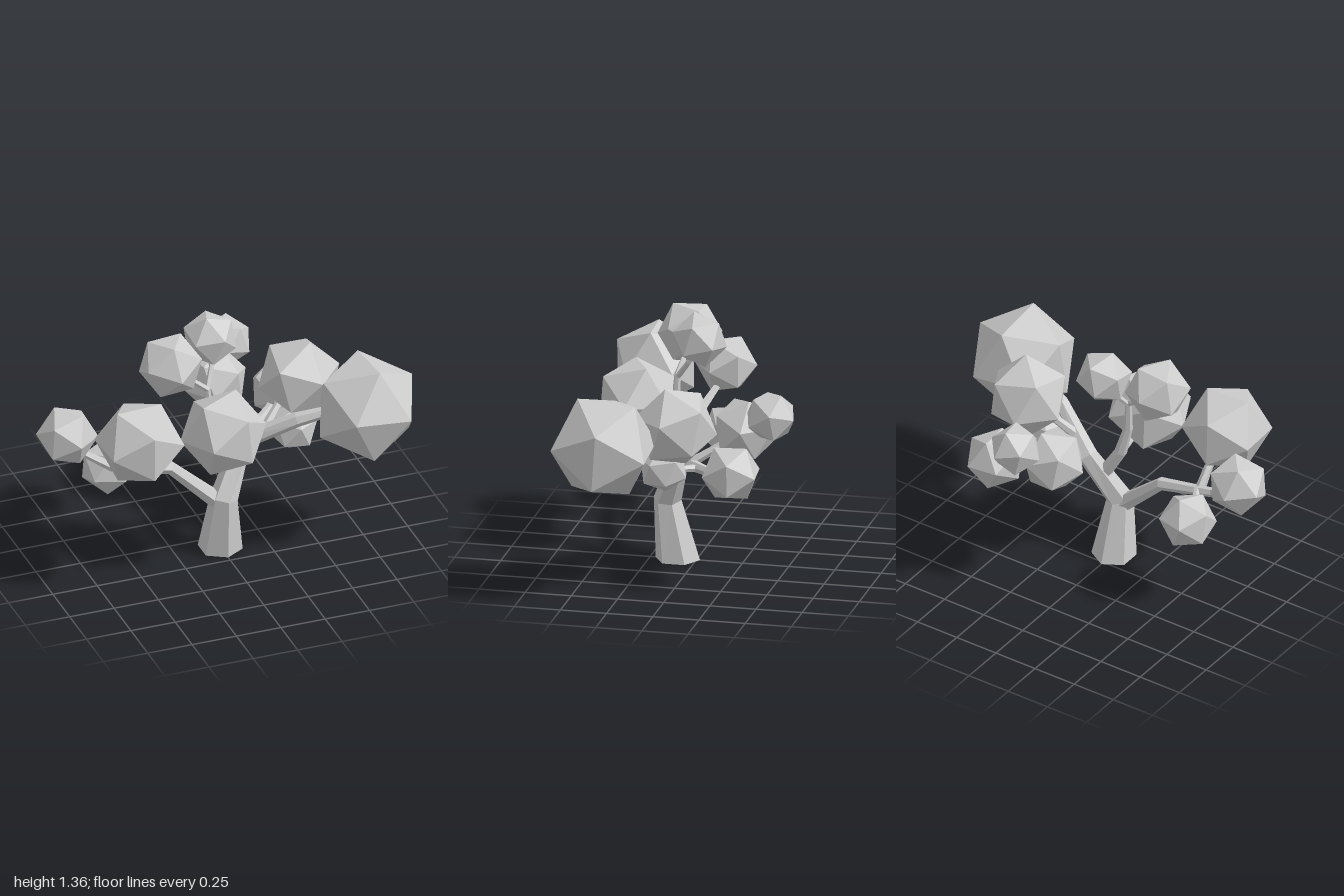
import * as THREE from 'three';

const V = (p) => new THREE.Vector3(...p);

// Orthonormal frame whose first axis is a and whose second lies in the plane of a and b
function frame(a, b) {
  const x = a.clone().normalize();
  const z = x.clone().cross(b).normalize();
  return new THREE.Matrix4().makeBasis(x, z.clone().cross(x), z);
}

// Icosahedron turned so that two neighbouring corners point along a and b
function leafGeometry(r, a, b) {
  const phi = (1 + Math.sqrt(5)) / 2;
  const rest = frame(V([0, 1, phi]), V([0, -1, phi])).transpose();
  return new THREE.IcosahedronGeometry(r, 0).applyMatrix4(frame(V(a), V(b)).multiply(rest));
}

// Tapered six-sided limb through points [x, y, z, radius]
function limbGeometry(path, sides = 6) {
  const pts = path.map((p) => V(p.slice(0, 3)));
  const rings = pts.map((c, i) => {
    const t = new THREE.Vector3();
    if (c.y === 0) t.set(0, 1, 0);
    else {
      if (i > 0) t.add(c.clone().sub(pts[i - 1]).normalize());
      if (i < pts.length - 1) t.add(pts[i + 1].clone().sub(c).normalize());
      t.normalize();
    }
    const u = new THREE.Vector3(0, 0, 1).addScaledVector(t, -t.z).normalize();
    const v = t.clone().cross(u);
    return Array.from({ length: sides }, (_, k) => {
      const s = (k / sides) * Math.PI * 2;
      return c.clone().addScaledVector(u, Math.cos(s) * path[i][3]).addScaledVector(v, Math.sin(s) * path[i][3]);
    });
  });
  const tris = [];
  const last = rings.length - 1;
  for (let k = 0; k < sides; k++) {
    const n = (k + 1) % sides;
    for (let i = 0; i < last; i++) {
      const a = rings[i], b = rings[i + 1];
      tris.push(a[k], a[n], b[n], a[k], b[n], b[k]);
    }
    tris.push(pts[0], rings[0][n], rings[0][k], pts[last], rings[last][k], rings[last][n]);
  }
  const g = new THREE.BufferGeometry().setFromPoints(tris);
  g.computeVertexNormals();
  return g;
}

export function createModel() {
  const grey = new THREE.MeshStandardMaterial({ color: 0xcccccc });
  grey.name = 'lightGrey';
  grey.flatShading = true;

  const tree = new THREE.Group();
  tree.name = 'tree';
  const add = (name, geometry) => {
    const mesh = new THREE.Mesh(geometry, grey);
    mesh.name = name;
    tree.add(mesh);
    return mesh;
  };

  // Trunk, main boughs and twigs
  const limbs = {
    trunk: [[0, 0, 0.1, 0.12], [0, 0.33, 0.155, 0.075], [0.14, 0.6, 0.06, 0.055],
      [0.4, 0.75, 0.2, 0.04], [0.62, 0.82, 0.28, 0.025]],
    rightBough: [[0, 0.3, 0.15, 0.055], [-0.06, 0.34, 0.145, 0.048], [-0.29, 0.555, 0.12, 0.036],
      [-0.62, 0.63, 0.12, 0.026], [-0.79, 0.73, 0.06, 0.018]],
    middleBough: [[0.08, 0.47, 0.1, 0.04], [-0.03, 0.66, 0.12, 0.034], [-0.07, 0.82, 0.13, 0.025],
      [-0.08, 0.99, 0.12, 0.018], [-0.22, 1.1, 0.1, 0.012]],
    topTwig: [[-0.08, 0.98, 0.12, 0.016], [-0.03, 1.08, 0.05, 0.014], [-0.02, 1.16, 0, 0.01]],
    middleTwig: [[-0.03, 0.66, 0.12, 0.024], [-0.06, 0.74, 0.25, 0.015]],
    frontTwig: [[-0.53, 0.6, 0.12, 0.028], [-0.53, 0.7, 0.2, 0.024], [-0.54, 0.8, 0.3, 0.014]],
    lowTwig: [[-0.52, 0.62, 0.12, 0.022], [-0.57, 0.57, 0, 0.014]],
    backBough: [[0.14, 0.58, 0.07, 0.035], [0.22, 0.6, -0.02, 0.032], [0.38, 0.61, -0.18, 0.025],
      [0.47, 0.65, -0.28, 0.015]],
    backTwig: [[0.22, 0.6, -0.01, 0.028], [0.18, 0.68, -0.14, 0.022], [0.14, 0.76, -0.26, 0.016],
      [0.24, 0.88, -0.42, 0.012]],
    sideTwig: [[0.27, 0.6, -0.07, 0.022], [0.4, 0.62, 0.05, 0.014]],
    upperTwig: [[0.24, 0.66, 0.11, 0.03], [0.36, 0.78, 0.04, 0.022], [0.45, 0.86, 0.01, 0.014]],
  };
  for (const [name, path] of Object.entries(limbs)) add(name, limbGeometry(path));

  // Leaf clumps: centre, radius, directions of two neighbouring corners
  const clumps = [
    ['bigLeaves', [0.735, 0.835, 0.33], 0.297, [0.545, 0.02, 0.84], [0.1, 0.89, 0.46]],
    ['upperLeaves', [0.48, 0.89, 0], 0.225, [0.2, 0.94, 0.2], [0.46, 0.47, -0.75]],
    ['sideLeaves', [0.42, 0.635, 0.08], 0.133, [0.1, 0.96, 0.1], [0.6, 0.4, -0.65]],
    ['backSideLeaves', [0.485, 0.655, -0.3], 0.165, [0, 0.86, -0.52], [0.47, -0.04, -0.88]],
    ['backLeaves', [0.12, 0.785, -0.29], 0.18, [0.3, 0.93, -0.2], [0.9, 0.2, -0.1]],
    ['backTipLeaves', [0.245, 0.905, -0.46], 0.142, [0.15, 0.88, -0.43], [0.3, 0.05, -0.93]],
    ['topLeaves', [-0.015, 1.217, -0.015], 0.15, [-0.22, 0.94, 0.25], [0.1, 0.7, -0.7]],
    ['topRightLeaves', [-0.28, 1.167, 0.1], 0.177, [0, -0.1, 0.99], [-0.08, 0.84, 0.53]],
    ['middleLeaves', [-0.07, 0.84, 0.33], 0.236, [0.97, 0.08, 0.1], [0.3, 0.89, -0.3]],
    ['frontRightLeaves', [-0.55, 0.89, 0.35], 0.24, [0.88, 0, 0.48], [0.53, 0.85, 0]],
    ['lowLeaves', [-0.575, 0.535, -0.05], 0.156, [0.13, 0.94, -0.32], [-0.28, 0.2, -0.93]],
    ['outerRightLeaves', [-0.838, 0.82, 0.035], 0.165, [-0.94, 0.05, -0.33], [-0.25, 0.87, -0.42]],
  ];
  for (const [name, centre, r, a, b] of clumps) {
    add(name, leafGeometry(r, a, b)).position.set(...centre);
  }
  return tree;
}
